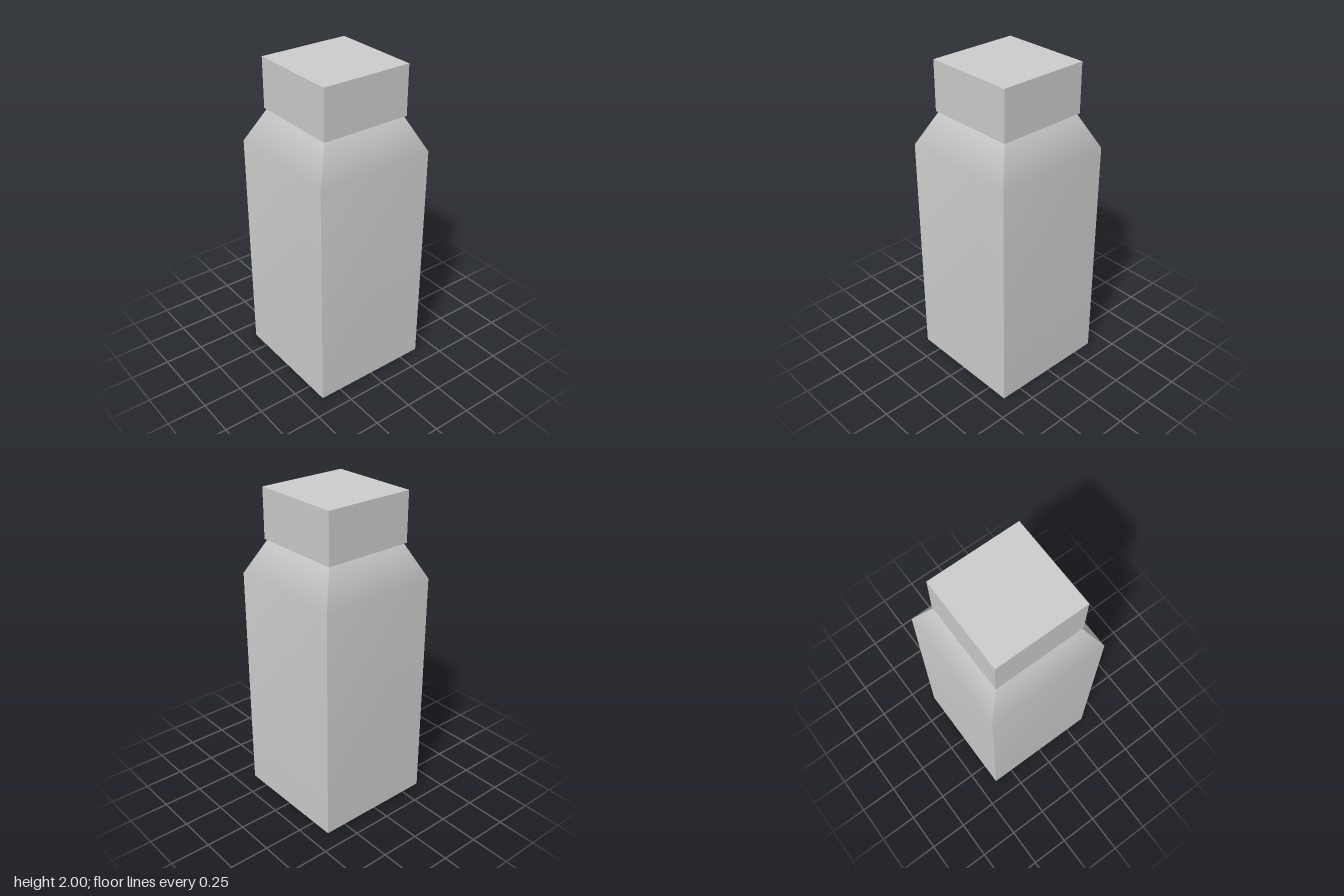
import * as THREE from 'three';

const material = new THREE.MeshStandardMaterial({ color: 0xcccccc });

export function createModel() {
  const group = new THREE.Group();
  group.name = 'bottle';

  // Square body: one ring divides the straight walls from the tapered shoulder
  const height = 1.69, shoulderY = 1.475, half = 0.385, neckHalf = 0.277;
  const bodyGeometry = new THREE.BoxGeometry(2 * half, height, 2 * half, 1, 2, 1);
  bodyGeometry.translate(0, height / 2, 0);
  const p = bodyGeometry.attributes.position;
  for (let i = 0; i < p.count; i++) {
    const y = p.getY(i);
    if (y > height - 0.01) {
      const s = neckHalf / half;
      p.setXYZ(i, p.getX(i) * s, y, p.getZ(i) * s);
    } else if (y > 0.01) {
      p.setY(i, shoulderY);
    }
  }
  // Each side is smooth from wall to shoulder, with sharp vertical corners
  bodyGeometry.computeVertexNormals();
  const body = new THREE.Mesh(bodyGeometry, material);
  body.name = 'body';
  group.add(body);

  // Square cap, slightly wider than the neck
  const cap = new THREE.Mesh(new THREE.BoxGeometry(0.58, 0.31, 0.58), material);
  cap.name = 'cap';
  cap.position.y = 1.845;
  group.add(cap);

  return group;
}
